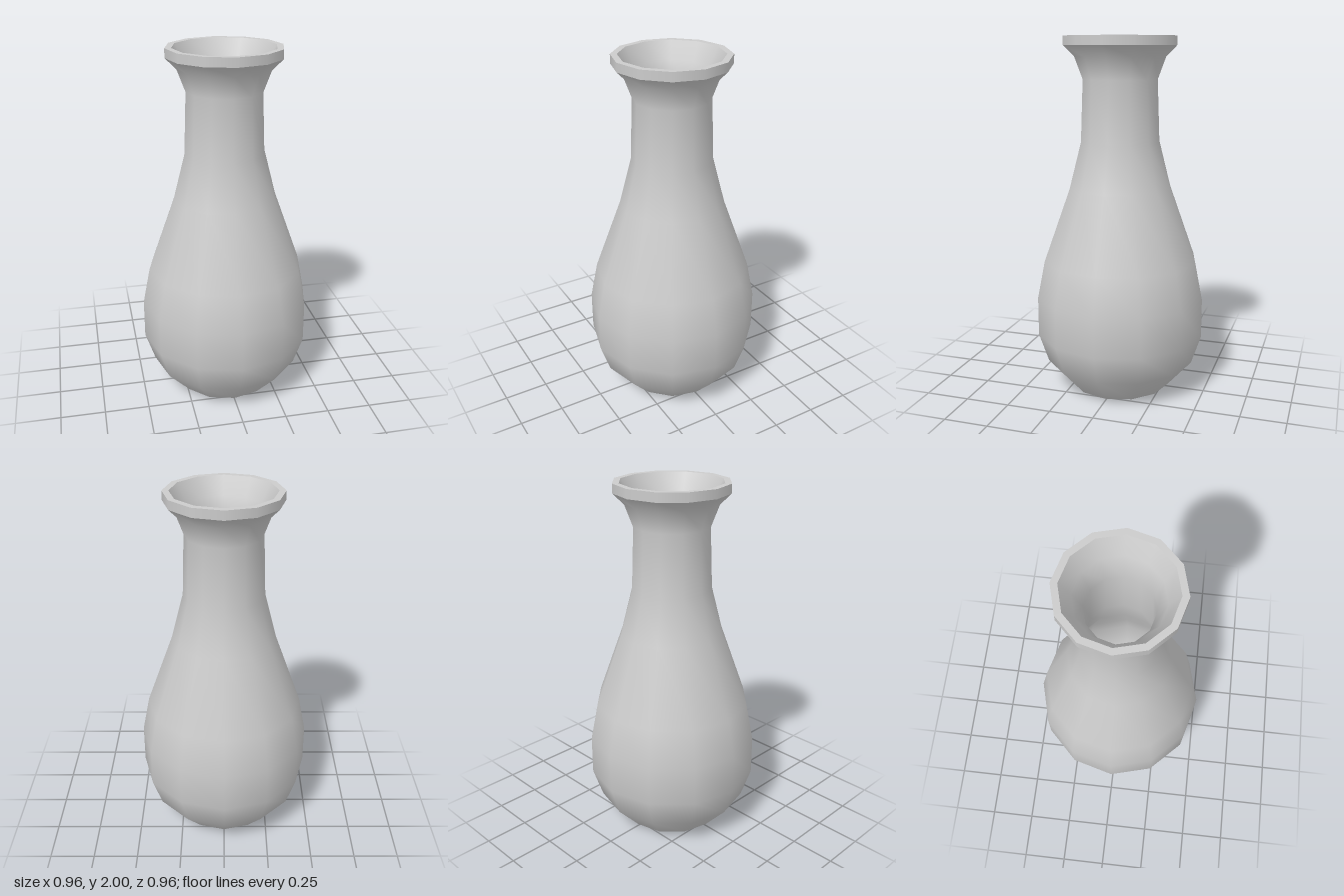
import * as THREE from 'three';

const SIDES = 12;

export function createModel() {
  const vase = new THREE.Group();
  vase.name = 'vase';
  const material = new THREE.MeshStandardMaterial({ color: 0xcccccc });

  // Each section is its own twelve-sided lathe, so edges between sections stay sharp.
  function addSection(name, profile) {
    const points = profile.map(([r, y]) => new THREE.Vector2(r, y));
    const mesh = new THREE.Mesh(new THREE.LatheGeometry(points, SIDES), material);
    mesh.name = name;
    vase.add(mesh);
  }

  // Underside
  addSection('base', [[0, 0], [0.285, 0.01]]);

  // Smooth belly, shoulder, neck and flare
  addSection('body', [
    [0.285, 0.01], [0.425, 0.165], [0.48, 0.33], [0.48, 0.55], [0.438, 0.76],
    [0.29, 1.17], [0.223, 1.43], [0.21, 1.77], [0.255, 1.89], [0.315, 1.95],
  ]);

  // Lip: vertical band and flat top ring
  addSection('lipBand', [[0.315, 1.95], [0.315, 2]]);
  addSection('lipTop', [[0.315, 2], [0.28, 2]]);

  // Hollow inside, following the body from the lip down
  addSection('innerWall', [
    [0.28, 2], [0.225, 1.9], [0.175, 1.78], [0.188, 1.43], [0.255, 1.16],
    [0.403, 0.75], [0.445, 0.55], [0.445, 0.34], [0.395, 0.185], [0.27, 0.045],
  ]);
  addSection('innerFloor', [[0.27, 0.045], [0, 0.045]]);

  return vase;
}
